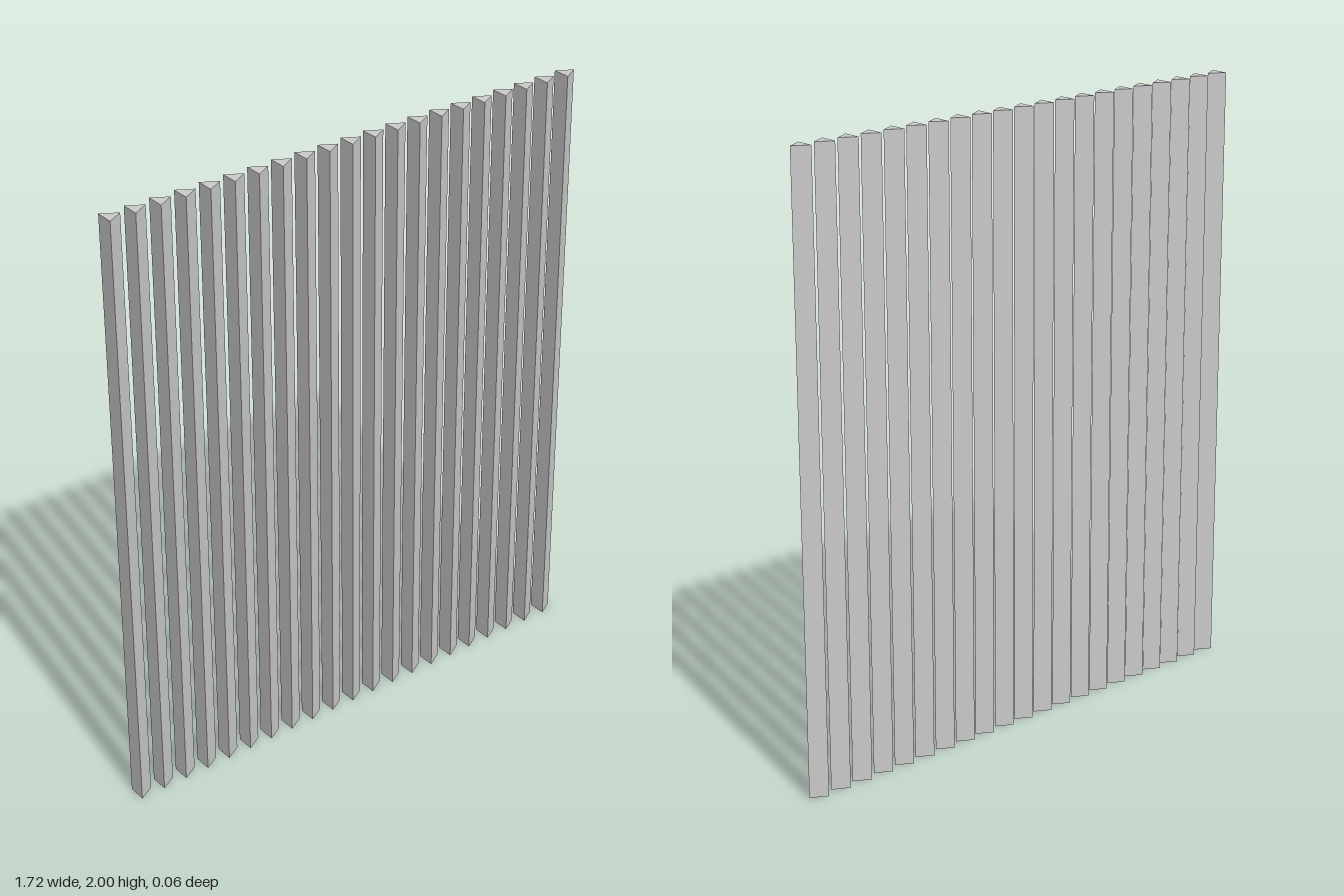
import * as THREE from 'three';

const COUNT = 21;
const PITCH = 0.0832;
const HEIGHT = 2;
const RADIUS = 0.0346; // circumradius of the triangular section

export function createModel() {
  const group = new THREE.Group();
  group.name = 'slatScreen';
  const material = new THREE.MeshStandardMaterial({ color: 0xcccccc, flatShading: true });

  // Triangular prism, one edge pointing to +x, centred on its width
  const slatGeometry = new THREE.CylinderGeometry(RADIUS, RADIUS, HEIGHT, 3, 1, false, Math.PI / 2);
  slatGeometry.translate(-RADIUS / 4, HEIGHT / 2, 0);

  // Evenly spaced row of upright slats
  for (let i = 0; i < COUNT; i++) {
    const slat = new THREE.Mesh(slatGeometry, material);
    slat.name = `slat${i + 1}`;
    slat.position.x = (i - (COUNT - 1) / 2) * PITCH;
    group.add(slat);
  }
  return group;
}
